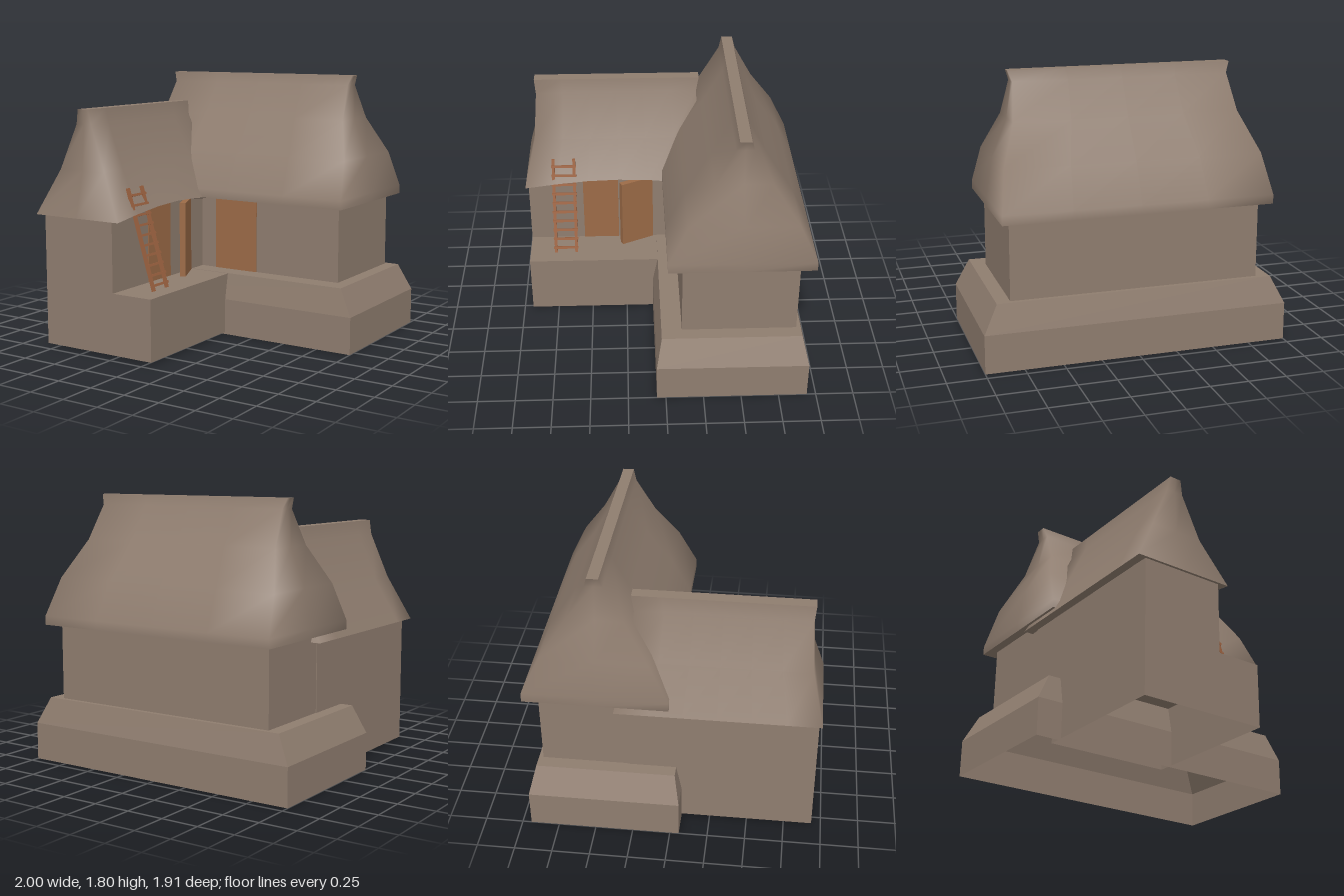
import * as THREE from 'three';
import { mergeGeometries } from 'three/addons/utils/BufferGeometryUtils.js';

const clay = new THREE.MeshStandardMaterial({ color: 0x8f7d6f, side: THREE.DoubleSide });
clay.name = 'clay and thatch';
const wood = new THREE.MeshStandardMaterial({ color: 0x9c6b47 });
wood.name = 'door wood';
const ladderWood = new THREE.MeshStandardMaterial({ color: 0x9c6240 });
ladderWood.name = 'ladder wood';

// Rectangle outline [y, x0, x1, z0, z1], split into nx by nz steps, anticlockwise from above
function outline([y, x0, x1, z0, z1], nx, nz) {
  const points = [];
  const side = (n, ax, az, bx, bz) => {
    for (let i = 0; i < n; i++) {
      const t = i / n;
      points.push(new THREE.Vector3(ax + (bx - ax) * t, y, az + (bz - az) * t));
    }
  };
  side(nz, x1, z1, x1, z0);
  side(nx, x1, z0, x0, z0);
  side(nx === 0 ? 1 : nz, x0, z0, x0, z1);
  side(nx, x0, z1, x1, z1);
  return points;
}

// Flat fan that closes an outline
function fan(points, up) {
  const centre = points.reduce((s, p) => s.add(p), new THREE.Vector3()).divideScalar(points.length);
  const index = [];
  points.forEach((p, j) => {
    const a = j + 1, b = ((j + 1) % points.length) + 1;
    index.push(0, up ? a : b, up ? b : a);
  });
  const g = new THREE.BufferGeometry().setFromPoints([centre, ...points]);
  g.setIndex(index);
  return g;
}

// Skin over a stack of rectangular outlines
function loft(levels, { nx = 1, nz = 1, smooth = false, bottom = false, lift } = {}) {
  const rings = levels.map((l) => outline(l, nx, nz));
  if (lift) lift(rings[0]);
  const n = rings[0].length;
  const index = [];
  for (let r = 0; r < rings.length - 1; r++) {
    for (let j = 0; j < n; j++) {
      const a = r * n + j, b = r * n + ((j + 1) % n);
      index.push(a, b, b + n, a, b + n, a + n);
    }
  }
  const skin = new THREE.BufferGeometry().setFromPoints(rings.flat());
  skin.setIndex(index);
  const parts = [skin, fan(rings[rings.length - 1], true)];
  if (bottom) parts.push(fan(rings[0], false));
  let g = mergeGeometries(parts);
  if (!smooth) g = g.toNonIndexed();
  g.computeVertexNormals();
  return g;
}

function add(parent, name, geometry, material, x = 0, y = 0, z = 0) {
  const mesh = new THREE.Mesh(geometry, material);
  mesh.name = name;
  mesh.position.set(x, y, z);
  parent.add(mesh);
  return mesh;
}

// Box given by its limits
function block(parent, name, material, x0, x1, y0, y1, z0, z1) {
  return add(parent, name, new THREE.BoxGeometry(x1 - x0, y1 - y0, z1 - z0), material,
    (x0 + x1) / 2, (y0 + y1) / 2, (z0 + z1) / 2);
}

function createLadder() {
  const ladder = new THREE.Group();
  ladder.name = 'ladder';
  for (const s of [-1, 1]) {
    add(ladder, 'ladderRail', new THREE.BoxGeometry(0.02, 0.69, 0.02), ladderWood, 0, 0.345, s * 0.073);
  }
  for (let i = 0; i < 10; i++) {
    add(ladder, 'ladderRung', new THREE.BoxGeometry(0.014, 0.016, 0.176), ladderWood, 0.008, 0.035 + i * 0.067, 0);
  }
  ladder.position.set(-0.075, 0.43, 0.68);
  ladder.rotation.z = 0.294;
  return ladder;
}

export function createModel() {
  const house = new THREE.Group();
  house.name = 'cottage';

  // Foundations, open underneath
  add(house, 'mainBase', loft([
    [0, -1, 1, -0.94, 0.06],
    [0.25, -1, 1, -0.94, 0.06],
    [0.43, -0.91, 0.91, -0.895, 0.025],
  ]), clay);
  add(house, 'wingPlatform', loft([
    [0.015, -0.825, 0.033, -0.05, 0.937],
    [0.427, -0.825, 0.033, -0.05, 0.937],
  ]), clay);

  // Walls
  block(house, 'mainWalls', clay, -0.82, 0.82, 0.42, 0.96, -0.865, -0.11);
  block(house, 'wingWalls', clay, -0.825, -0.268, 0.42, 0.94, -0.3, 0.937);

  // Main thatched roof, flaring at eaves and ridge
  add(house, 'mainRoof', loft([
    [0.94, -0.88, 0.88, -0.96, -0.015],
    [1.0, -0.88, 0.88, -0.96, -0.015],
    [1.25, -0.84, 0.84, -0.84, -0.14],
    [1.5, -0.74, 0.74, -0.67, -0.305],
    [1.73, -0.71, 0.71, -0.545, -0.43],
    [1.8, -0.735, 0.735, -0.525, -0.45],
  ], { nx: 4, nz: 2, smooth: true, bottom: true }), clay);

  // Wing roof, its eave arched over the side door
  add(house, 'wingRoof', loft([
    [0.895, -0.885, -0.205, -0.37, 0.955],
    [1.2, -0.73, -0.365, -0.29, 0.88],
    [1.5, -0.605, -0.485, -0.26, 0.86],
    [1.6, -0.585, -0.505, -0.28, 0.87],
  ], {
    nx: 2, nz: 6, smooth: true, bottom: true,
    lift: (ring) => ring.slice(0, 6).forEach((p, i) => { p.y += 0.06 * Math.sin((Math.PI * i) / 6); }),
  }), clay);

  // Doors: one in the main wall, a closed and an open leaf in the wing
  block(house, 'mainDoor', wood, -0.15, 0.185, 0.425, 0.94, -0.13, -0.103);
  block(house, 'closedDoorLeaf', wood, -0.29, -0.26, 0.43, 0.94, 0.3, 0.55);
  const leaf = add(house, 'openDoorLeaf', new THREE.BoxGeometry(0.04, 0.51, 0.243), wood, -0.224, 0.685, 0.17);
  leaf.rotation.y = Math.atan2(0.103, 0.22);

  house.add(createLadder());
  return house;
}
